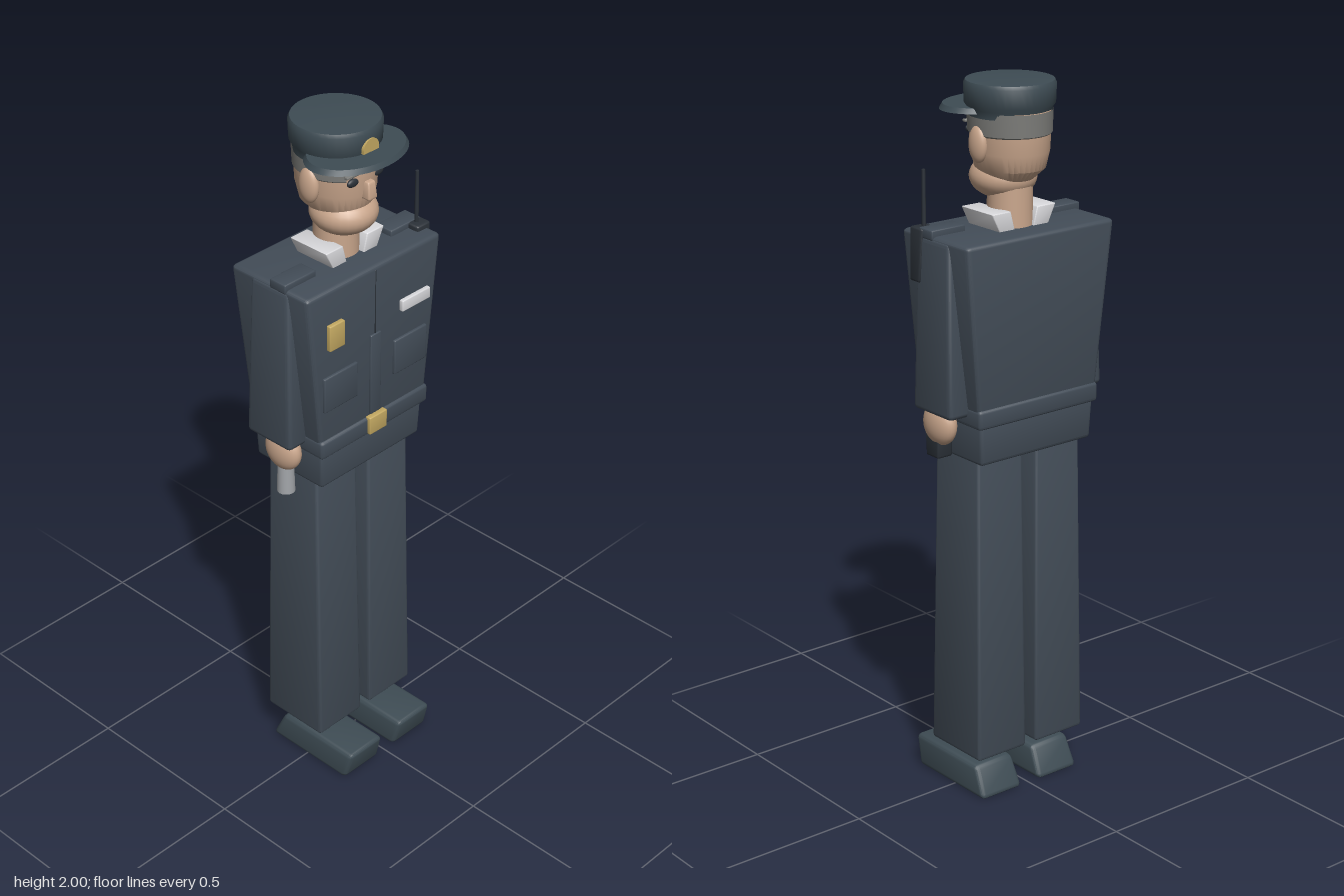
import * as THREE from 'three';
import { mergeVertices, toCreasedNormals } from 'three/addons/utils/BufferGeometryUtils.js';
import { RoundedBoxGeometry } from 'three/addons/geometries/RoundedBoxGeometry.js';

function material(name, color) {
  const m = new THREE.MeshStandardMaterial({ color });
  m.name = name;
  return m;
}

export function createModel() {
  const model = new THREE.Group();
  model.name = 'officer';
  const uniform = material('uniform', 0x434d58);
  const cap = material('capAndShoes', 0x3e4c54);
  const black = material('black', 0x2b3138);
  const skin = material('skin', 0xc9a68c);
  const hair = material('hair', 0x7c7c79);
  const gold = material('gold', 0xc4a962);
  const white = material('white', 0xd8d8db);
  const steel = material('steel', 0xa2a5a9);

  function add(name, geometry, mat, parent = model) {
    const mesh = new THREE.Mesh(geometry, mat);
    mesh.name = name;
    parent.add(mesh);
    return mesh;
  }

  // Bevelled block between y0 and y1; bottom and top are [xMin, xMax, zMin, zMax]
  function block(name, mat, y0, y1, bottom, top = bottom, radius = 0.01, parent = model) {
    const w = bottom[1] - bottom[0], h = y1 - y0, d = bottom[3] - bottom[2];
    const r = Math.min(radius, w * 0.4, h * 0.4, d * 0.4);
    let g = new RoundedBoxGeometry(w, h, d, 2, r);
    const p = g.attributes.position;
    const mix = THREE.MathUtils.lerp;
    for (let i = 0; i < p.count; i++) {
      const u = p.getX(i) / w + 0.5, t = p.getY(i) / h + 0.5, v = p.getZ(i) / d + 0.5;
      const [x0, x1, z0, z1] = bottom.map((b, k) => mix(b, top[k], t));
      p.setXYZ(i, mix(x0, x1, u), mix(y0, y1, t), mix(z0, z1, v));
    }
    g.deleteAttribute('normal');
    g.deleteAttribute('uv');
    g = toCreasedNormals(mergeVertices(g), 0.5);
    return add(name, g, mat, parent);
  }

  function ellipsoid(name, mat, x, y, z, rx, ry, rz) {
    const m = add(name, new THREE.SphereGeometry(1, 28, 18), mat);
    m.position.set(x, y, z);
    m.scale.set(rx, ry, rz);
    return m;
  }

  function lathe(name, mat, points, z, zScale, start = 0, length = Math.PI * 2) {
    const g = new THREE.LatheGeometry(points.map(a => new THREE.Vector2(...a)), 40, start, length);
    g.scale(1, 1, zScale);
    g.translate(0, 0, z);
    return add(name, toCreasedNormals(g, 0.6), mat);
  }

  // Box with span [min, max] on each axis
  function plate(name, mat, x, y, z) {
    return block(name, mat, y[0], y[1], [x[0], x[1], z[0], z[1]], undefined, 0.003);
  }

  // Jacket
  block('jacket', uniform, 1.12, 1.61, [-0.2, 0.2, -0.162, 0.1], [-0.25, 0.25, -0.175, 0.103], 0.012);
  block('jacketSkirt', uniform, 1.0, 1.12, [-0.19, 0.19, -0.155, 0.09], [-0.195, 0.195, -0.16, 0.095]);
  block('belt', uniform, 1.105, 1.16, [-0.205, 0.205, -0.168, 0.108]);
  plate('buckle', gold, [-0.033, 0.033], [1.11, 1.163], [0.1, 0.118]);
  plate('placket', uniform, [-0.02, 0.02], [1.165, 1.41], [0.098, 0.107]);
  plate('seam', black, [-0.0015, 0.0015], [1.41, 1.6], [0.098, 0.104]);

  // Paired parts: s is the side, mirrored in x
  for (const s of [-1, 1]) {
    const side = s > 0 ? 'left' : 'right';
    const span = (a, b, z0, z1) => (s > 0 ? [a, b, z0, z1] : [-b, -a, z0, z1]);
    block(side + 'Sleeve', uniform, 1.13, 1.605, span(0.185, 0.264, -0.117, 0.045),
      span(0.185, 0.252, -0.1, 0.035), 0.014);
    ellipsoid(side + 'Hand', skin, s * 0.222, 1.095, -0.02, 0.034, 0.06, 0.06);
    block(side + 'Trouser', uniform, 0.125, 1.01, span(0.017, 0.187, -0.138, 0.075),
      span(0.023, 0.177, -0.123, 0.057));
    block(side + 'Shoe', cap, 0, 0.09, span(0.03, 0.172, -0.138, 0.155),
      span(0.036, 0.166, -0.095, 0.178), 0.014);
    block(side + 'Epaulette', uniform, 1.6, 1.627, span(0.14, 0.252, -0.03, 0.026), undefined, 0.004);
    block(side + 'ChestPocket', uniform, 1.25, 1.355, span(0.07, 0.195, 0.09, 0.109), undefined, 0.004);
    block(side + 'Collar', white, 1.603, 1.66, span(0.03, 0.08, -0.1, 0.03),
      span(0.045, 0.108, -0.1, 0.03), 0.003);
    ellipsoid(side + 'Ear', skin, s * 0.102, 1.835, -0.035, 0.02, 0.05, 0.032);
    ellipsoid(side + 'Eye', black, s * 0.045, 1.855, 0.064, 0.02, 0.012, 0.008);
    const brow = plate(side + 'Brow', hair, [s * 0.047 - 0.024, s * 0.047 + 0.024], [1.872, 1.88], [0.058, 0.071]);
    brow.rotation.y = 0;
  }

  // Chest insignia
  plate('chestBadge', gold, [-0.18, -0.125], [1.435, 1.51], [0.1, 0.115]);
  plate('namePlate', white, [0.093, 0.2], [1.437, 1.47], [0.1, 0.114]);

  // Shoulder radio with antenna
  block('radio', black, 1.48, 1.625, [0.215, 0.262, 0.015, 0.055], [0.205, 0.256, 0.008, 0.06], 0.006);
  const antenna = add('antenna', new THREE.CylinderGeometry(0.005, 0.006, 0.16, 12), black);
  antenna.position.set(0.228, 1.695, 0.034);

  // Hand-held items
  const torch = add('torch', new THREE.CylinderGeometry(0.022, 0.025, 0.11, 20), steel);
  torch.position.set(-0.215, 1.013, -0.02);
  block('handset', black, 1.0, 1.075, [0.192, 0.242, -0.035, 0.018], undefined, 0.006);

  // Neck and head
  const neck = add('neck', new THREE.CylinderGeometry(0.06, 0.062, 0.12, 28), skin);
  neck.position.set(0, 1.655, -0.04);
  lathe('head', skin, [[0, 1.73], [0.06, 1.735], [0.09, 1.765], [0.1, 1.81], [0.103, 1.87],
    [0.104, 1.92], [0, 1.92]], -0.04, 1.12);
  ellipsoid('jaw', skin, 0, 1.735, -0.012, 0.09, 0.06, 0.092);
  block('nose', skin, 1.8, 1.85, [-0.017, 0.017, 0.05, 0.094], [-0.013, 0.013, 0.05, 0.088], 0.006);
  hair.side = THREE.DoubleSide;
  lathe('hair', hair, [[0.102, 1.855], [0.107, 1.86], [0.109, 1.92]], -0.04, 1.1, 0.6, Math.PI * 2 - 1.2);

  // Cap
  lathe('capCrown', cap, [[0, 1.905], [0.111, 1.905], [0.113, 1.925], [0.12, 1.935], [0.122, 1.985],
    [0.117, 1.995], [0.06, 1.999], [0, 2]], -0.04, 1);
  const brim = new THREE.CylinderGeometry(0.146, 0.155, 0.014, 48);
  brim.scale(1, 1, 0.71);
  add('capBrim', toCreasedNormals(brim, 0.5), cap).position.set(0, 1.922, 0.033);
  const dome = new THREE.Shape();
  dome.moveTo(-0.028, 0);
  dome.lineTo(0.028, 0);
  dome.absarc(0, 0.008, 0.028, 0, Math.PI, false);
  const emblem = new THREE.ExtrudeGeometry(dome, { depth: 0.012, bevelEnabled: false, curveSegments: 14 });
  add('capBadge', emblem, gold).position.set(0, 1.934, 0.073);

  return model;
}
